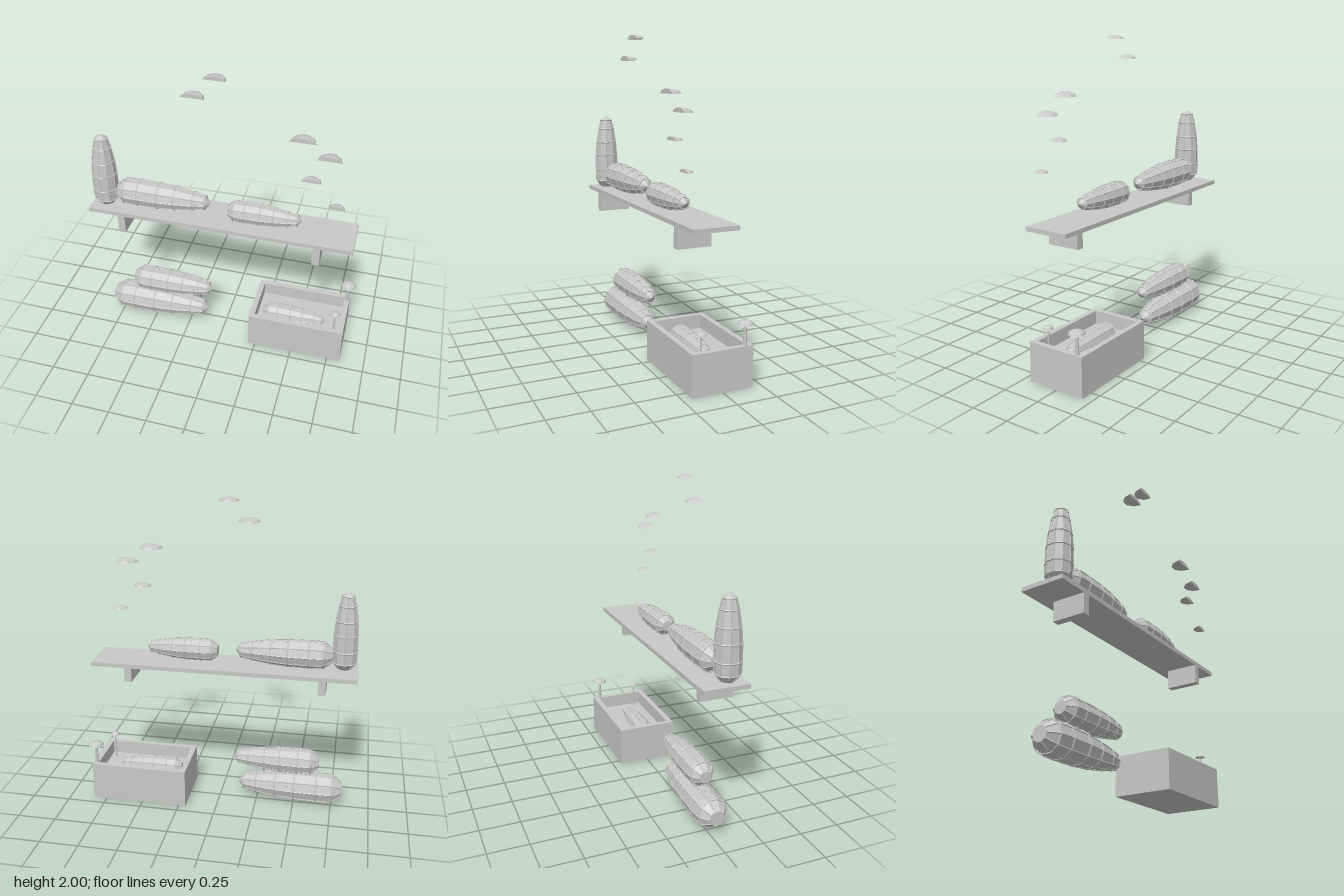
import * as THREE from 'three';
import { ConvexGeometry } from 'three/addons/geometries/ConvexGeometry.js';

const SIDES = 10;
// pod outline: [distance along the length, radius], both as fractions
const PROFILE = [[0, 0.48], [0.09, 0.95], [0.24, 1], [0.45, 0.98], [0.63, 0.88], [0.82, 0.68], [0.94, 0.5]];

export function createModel() {
  const model = new THREE.Group();
  const grey = new THREE.MeshStandardMaterial({ color: 0xc8c8c8, flatShading: true });
  grey.name = 'pale grey';

  function add(parent, name, geometry, x = 0, y = 0, z = 0) {
    const mesh = new THREE.Mesh(geometry, grey);
    mesh.name = name;
    mesh.position.set(x, y, z);
    parent.add(mesh);
    return mesh;
  }

  // box given by its limits on each axis
  function box(parent, name, x0, x1, y0, y1, z0, z1) {
    return add(parent, name, new THREE.BoxGeometry(x1 - x0, y1 - y0, z1 - z0),
      (x0 + x1) / 2, (y0 + y1) / 2, (z0 + z1) / 2);
  }

  // ribbed, ringed pod growing along +y from its blunt end
  function pod(name, length, outerRadius) {
    const g = new THREE.Group();
    g.name = name;
    const R = outerRadius * 0.94;
    const pts = PROFILE.map(([t, r]) => new THREE.Vector2(r * R, t * length));
    add(g, 'podShell', new THREE.LatheGeometry(
      [new THREE.Vector2(0, 0), ...pts, new THREE.Vector2(0, length)], SIDES));
    // hoops around the shell
    for (const p of pts.slice(1)) {
      const hoop = add(g, 'podHoop', new THREE.TorusGeometry(p.x + 0.001, R * 0.06, 5, SIDES), 0, p.y, 0);
      hoop.rotation.set(Math.PI / 2, 0, Math.PI / 2);
    }
    // lengthwise ribs on the shell's corners
    const path = new THREE.CatmullRomCurve3(pts.map((p) => new THREE.Vector3(0, p.y, p.x)));
    const ribGeometry = new THREE.TubeGeometry(path, 14, R * 0.04, 4);
    for (let i = 0; i < SIDES; i++) {
      add(g, 'podRib', ribGeometry).rotation.y = (i / SIDES) * Math.PI * 2;
    }
    model.add(g);
    return g;
  }

  function lyingPod(name, x0, x1, y, z, radius) {
    const g = pod(name, x1 - x0, radius);
    g.rotation.z = -Math.PI / 2;
    g.position.set(x0, y, z);
  }

  // faceted dome; an arc of PI gives a half dome with its flat side to the front
  function dome(radius, height, depth, arc, segments) {
    const points = [new THREE.Vector3(0, height, 0)];
    const count = arc < 6 ? segments + 1 : segments;
    for (const a of [0, Math.PI / 6, Math.PI / 3]) {
      for (let i = 0; i < count; i++) {
        const b = (i / segments) * arc;
        points.push(new THREE.Vector3(Math.cos(b) * Math.cos(a) * radius,
          Math.sin(a) * height, -Math.sin(b) * Math.cos(a) * depth));
      }
    }
    return new ConvexGeometry(points);
  }

  // shelf and brackets
  box(model, 'shelfBoard', -0.875, 0.837, 0.926, 0.953, -0.093, 0.195);
  for (const x of [-0.655, 0.616]) {
    box(model, 'shelfBracket', x - 0.024, x + 0.024, 0.8, 0.926, -0.02, 0.195);
  }

  // pods on the shelf
  const standing = pod('standingPod', 0.51, 0.084);
  standing.position.set(-0.784, 0.953, 0.094);
  lyingPod('largeShelfPod', -0.71, -0.087, 1.046, 0.066, 0.094);
  lyingPod('smallShelfPod', 0.028, 0.5, 1.028, 0.075, 0.075);

  // stacked pods on the ground
  lyingPod('lowerGroundPod', -0.817, -0.118, 0.105, 0.038, 0.105);
  lyingPod('upperGroundPod', -0.657, -0.087, 0.292, 0.036, 0.088);

  // planter crate with a half-buried pod
  const crate = new THREE.Group();
  crate.name = 'crate';
  model.add(crate);
  const [x0, x1, z0, z1, top, soil, wall] = [0.203, 0.837, -0.19, 0.195, 0.253, 0.165, 0.034];
  box(crate, 'crateBed', x0, x1, 0, soil, z0, z1);
  box(crate, 'crateFront', x0, x1, soil, top, z1 - wall, z1);
  box(crate, 'crateBack', x0, x1, soil, top, z0, z0 + wall);
  box(crate, 'crateRightSide', x0, x0 + wall, soil, top, z0 + wall, z1 - wall);
  box(crate, 'crateLeftSide', x1 - wall, x1, soil, top, z0 + wall, z1 - wall);
  lyingPod('buriedPod', 0.27, 0.7, 0.172, 0.02, 0.068);

  // mushrooms: [x, z, base, cap base, cap top, cap radius, stem radius]
  for (const [x, z, base, capY, tip, r, s] of [
    [0.82, -0.145, 0.25, 0.378, 0.406, 0.051, 0.011],
    [0.77, 0.108, 0.165, 0.332, 0.353, 0.032, 0.007],
  ]) {
    const h = capY - base + 0.005;
    add(model, 'mushroomStem', new THREE.CylinderGeometry(s * 0.75, s * 1.2, h, 8), x, base + h / 2, z);
    add(model, 'mushroomCap', dome(r, tip - capY, r, Math.PI * 2, 10), x, capY, z);
  }

  // bracket fungi, flat against the front plane: [x, y, radius]
  for (const [x, y, r] of [
    [-0.02, 1.974, 0.068], [-0.15, 1.848, 0.071], [0.487, 1.658, 0.078],
    [0.647, 1.562, 0.073], [0.552, 1.403, 0.06], [0.711, 1.243, 0.051],
  ]) {
    add(model, 'bracketFungus', dome(r, r * 0.37, r * 1.15, Math.PI, 5), x, y, 0.195);
  }
  return model;
}
